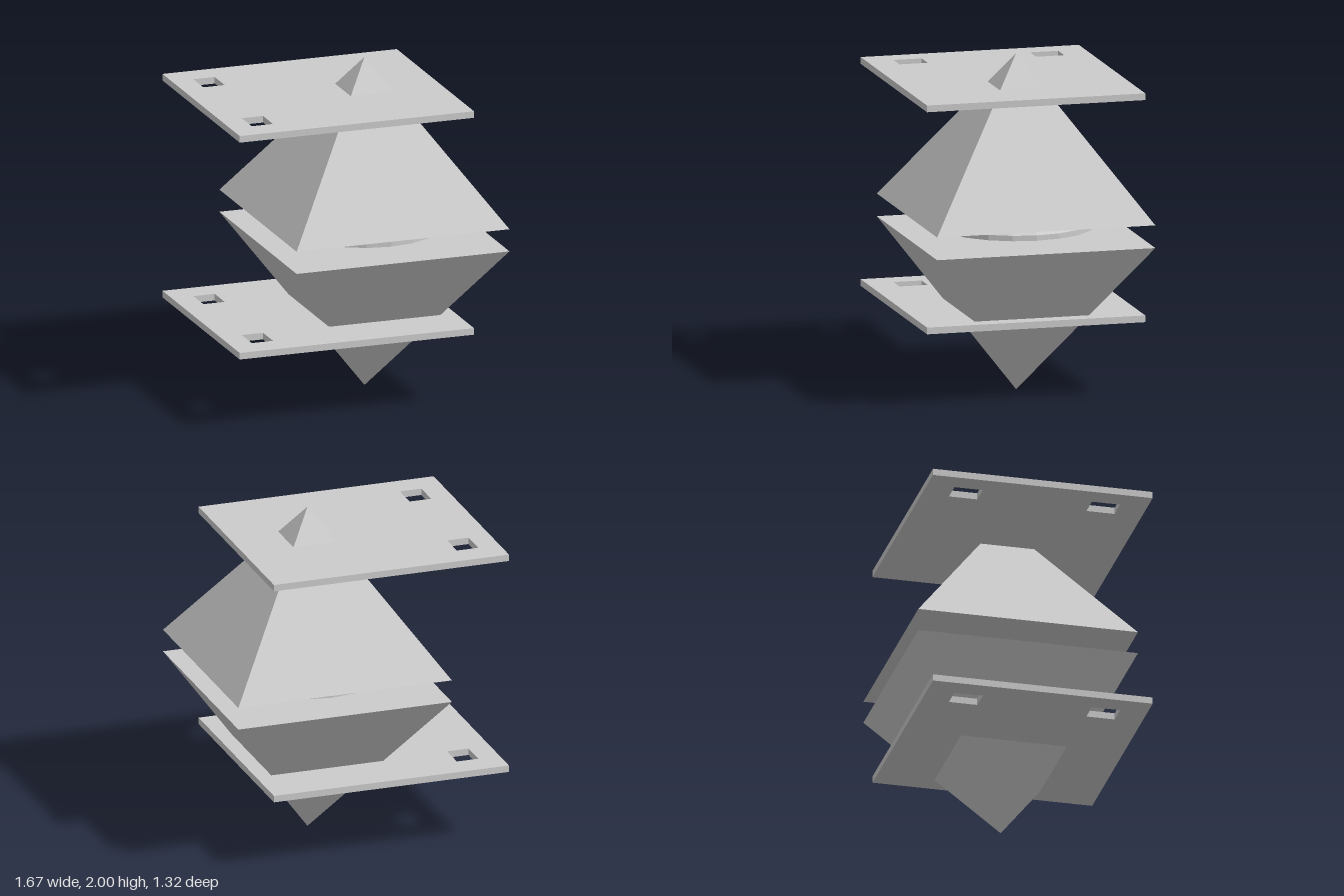
import * as THREE from 'three';

const AXIS_X = 0.175; // shared vertical axis of pyramids and disc
const HALF = 0.66;    // half width of pyramids and plates

const material = new THREE.MeshStandardMaterial({ color: 0xcccccc, flatShading: true });

function addPart(group, name, geometry, x, y) {
  const mesh = new THREE.Mesh(geometry, material);
  mesh.name = name;
  mesh.position.set(x, y, 0);
  group.add(mesh);
  return mesh;
}

// Square pyramid with sides aligned to x and z, base at y = 0
function pyramidGeometry(height) {
  return new THREE.ConeGeometry(HALF * Math.SQRT2, height, 4)
    .rotateY(Math.PI / 4)
    .translate(0, height / 2, 0);
}

// Flat plate with two rectangular holes near its -x edge, bottom at y = 0
function plateGeometry(thickness) {
  const rect = (path, x0, x1, y0, y1) =>
    path.moveTo(x0, y0).lineTo(x1, y0).lineTo(x1, y1).lineTo(x0, y1).closePath();
  const shape = new THREE.Shape();
  rect(shape, -0.838, 0.615, -HALF, HALF);
  for (const z of [-0.413, 0.413]) {
    const hole = new THREE.Path();
    rect(hole, -0.705, -0.573, z - 0.085, z + 0.085);
    shape.holes.push(hole);
  }
  return new THREE.ExtrudeGeometry(shape, { depth: thickness, bevelEnabled: false })
    .rotateX(-Math.PI / 2);
}

export function createModel() {
  const group = new THREE.Group();
  group.name = 'doublePyramid';

  // Two pyramids, base to base with a gap
  addPart(group, 'upperPyramid', pyramidGeometry(0.93), AXIS_X, 1.07);
  addPart(group, 'lowerPyramid', pyramidGeometry(0.935).rotateX(Math.PI), AXIS_X, 0.935);

  // Plates cutting through each pyramid
  addPart(group, 'upperPlate', plateGeometry(0.04), 0, 1.772);
  addPart(group, 'lowerPlate', plateGeometry(0.04), 0, 0.45);

  // Twenty-sided disc in the gap, chamfered on top
  const profile = [[0, 0], [0.46, 0], [0.46, 0.032], [0.44, 0.047], [0, 0.047]]
    .map(([r, y]) => new THREE.Vector2(r, y));
  addPart(group, 'middleDisc', new THREE.LatheGeometry(profile, 20), AXIS_X, 0.975);

  return group;
}
